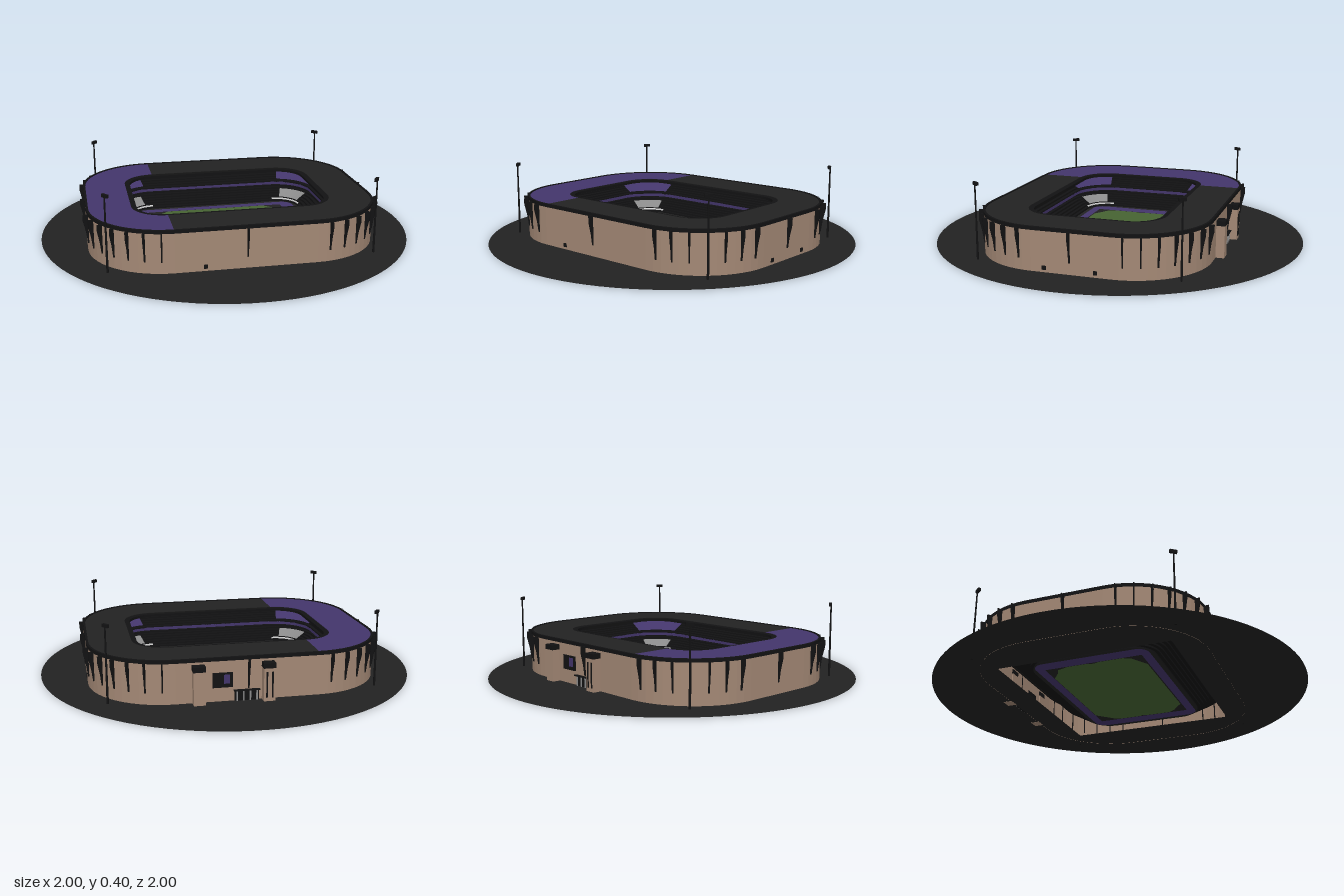
import * as THREE from 'three';

const mat = (name, color) => {
  const m = new THREE.MeshStandardMaterial({ color, side: THREE.DoubleSide });
  m.name = name;
  return m;
};

export function createModel() {
  const asphalt = mat('asphalt', 0x222222), purple = mat('purple', 0x43356b);
  const grass = mat('grass', 0x466332), tan = mat('tan', 0xa38875);
  const black = mat('black', 0x121213), grey = mat('grey', 0x8a8a8a), white = mat('white', 0xdddddd);
  const root = new THREE.Group();
  root.name = 'stadium';

  const add = (name, geo, material, x = 0, y = 0, z = 0, parent = root) => {
    const m = new THREE.Mesh(geo, material);
    m.name = name;
    m.position.set(x, y, z);
    parent.add(m);
    return m;
  };
  const box = (name, w, h, d, material, x, y, z, parent) =>
    add(name, new THREE.BoxGeometry(w, h, d), material, x, y, z, parent);

  // Stations around the bowl: four quarter turns about fixed corner centres
  const CX = 0.36, CZ = 0.2, SEG = 14, PER = SEG + 1;
  const stations = [];
  [[-CX, CZ], [-CX, -CZ], [CX, -CZ], [CX, CZ]].forEach(([x, z], k) => {
    for (let i = 0; i <= SEG; i++) {
      const a = Math.PI / 2 * (1 + k + i / SEG);
      stations.push({ x, z, nx: Math.cos(a), nz: Math.sin(a) });
    }
  });
  const N = stations.length;

  // Sweep a profile of [offset, height] points along stations first..last
  function sweep(name, profile, material, first = 0, last = N) {
    const pos = [];
    const at = (i, [d, y]) => {
      const s = stations[i % N];
      return [s.x + s.nx * d, y, s.z + s.nz * d];
    };
    for (let i = first; i < last; i++) {
      for (let j = 0; j < profile.length - 1; j++) {
        const a = at(i, profile[j]), b = at(i + 1, profile[j]);
        const c = at(i + 1, profile[j + 1]), d = at(i, profile[j + 1]);
        pos.push(...a, ...d, ...b, ...b, ...d, ...c);
      }
    }
    const g = new THREE.BufferGeometry();
    g.setAttribute('position', new THREE.Float32BufferAttribute(pos, 3));
    g.computeVertexNormals();
    return add(name, g, material);
  }

  // Flat plates, drawn in x and z
  function roundRect(Type, w, h, r) {
    const s = new Type();
    [[w, h], [-w, h], [-w, -h], [w, -h]].forEach(([x, y], k) =>
      s.absarc(x - Math.sign(x) * r, y - Math.sign(y) * r, r, k * Math.PI / 2, (k + 1) * Math.PI / 2, false));
    s.closePath();
    return s;
  }
  function plate(name, shape, hole, material, y) {
    if (hole) shape.holes.push(hole);
    return add(name, new THREE.ShapeGeometry(shape, 48).rotateX(Math.PI / 2), material, 0, y, 0);
  }

  // Surrounding ground, open under the bowl
  plate('ground', new THREE.Shape().absarc(0, 0, 1, 0, Math.PI * 2, false),
    roundRect(THREE.Path, 0.53, 0.46, 0.001), asphalt, 0.001);

  // Field: grass with clipped corners, dark corner plates, purple border, apron
  const outline = [[-0.39, -0.14], [-0.37, -0.2], [-0.33, -0.22], [-0.28, -0.26], [0.29, -0.26], [0.34, -0.21],
    [0.37, -0.18], [0.39, -0.13], [0.39, -0.02], [0.38, 0], [0.39, 0.02], [0.39, 0.16], [0.36, 0.2], [0.32, 0.23],
    [0.29, 0.255], [-0.28, 0.255], [-0.32, 0.23], [-0.37, 0.2], [-0.39, 0.16], [-0.39, 0.03], [-0.38, 0], [-0.39, -0.03]]
    .map(([x, z]) => new THREE.Vector2(x, z));
  const FIELD = 0.02;
  plate('pitch', new THREE.Shape(outline), null, grass, FIELD);
  plate('pitchCorners', roundRect(THREE.Shape, 0.393, 0.262, 0.002), new THREE.Path(outline), asphalt, FIELD);
  plate('fieldBorder', roundRect(THREE.Shape, 0.465, 0.308, 0.06),
    roundRect(THREE.Path, 0.393, 0.262, 0.002), purple, FIELD);
  plate('apron', roundRect(THREE.Shape, 0.49, 0.33, 0.13),
    roundRect(THREE.Path, 0.465, 0.308, 0.06), asphalt, FIELD);

  // Stepped stands
  function steps(d0, y0, d1, y1, rows) {
    const p = [[d0, y0]];
    for (let i = 1; i <= rows; i++) {
      const y = y0 + (y1 - y0) * i / rows;
      p.push([d0 + (d1 - d0) * (i - 1) / rows, y], [d0 + (d1 - d0) * i / rows, y]);
    }
    return p;
  }
  sweep('lowerStand', steps(0.13, FIELD, 0.27, 0.1, 8), black);
  sweep('upperStand', steps(0.2, 0.12, 0.38, 0.2, 9), black);
  sweep('upperFascia', [[0.2, 0.105], [0.2, 0.122]], purple);
  sweep('standBackWall', [[0.27, 0.1], [0.27, 0.15]], asphalt);
  for (let k = 0; k < 4; k++) {
    const a = k * PER, b = a + SEG;
    sweep('cornerSeats', [[0.14, 0.046], [0.2, 0.08]], grey, a + 3, b - 3);
    sweep('cornerRail', [[0.127, 0.034], [0.127, 0.042], [0.132, 0.042]], white, a, b);
    sweep('upperCornerSeats', [[0.21, 0.137], [0.36, 0.204]], purple, a + 2, b - 2);
  }

  // Outer wall and flat roof, purple over the right-hand end
  sweep('outerWall', [[0.4, 0], [0.4, 0.21]], tan);
  const slab = [[0.17, 0.206], [0.17, 0.22], [0.39, 0.22], [0.39, 0.206], [0.17, 0.206]];
  sweep('purpleRoof', slab, purple, 0, 2 * PER - 1);
  sweep('darkRoof', slab, asphalt, 2 * PER - 1, N);
  sweep('roofOuterTrim', [[0.39, 0.206], [0.39, 0.224], [0.402, 0.224], [0.402, 0.206], [0.39, 0.206]], black);
  sweep('roofInnerTrim', [[0.142, 0.202], [0.142, 0.216], [0.17, 0.218], [0.17, 0.202], [0.142, 0.202]], black);

  // Tapered brackets below the roof edge
  const finShape = new THREE.Shape([[-0.002, 0.06], [0.004, 0.06], [0.012, 0.12], [0.026, 0.18], [0.026, 0.213], [-0.002, 0.213]]
    .map(([x, y]) => new THREE.Vector2(x, y)));
  const finGeo = new THREE.ExtrudeGeometry(finShape, { depth: 0.007, bevelEnabled: false }).translate(0, 0, -0.0035);
  const fin = (x, z, a) => {
    add('roofBracket', finGeo, black, x + Math.cos(a) * 0.4, 0, z + Math.sin(a) * 0.4).rotation.y = -a;
  };
  [[-CX, CZ], [-CX, -CZ], [CX, -CZ], [CX, CZ]].forEach(([x, z], k) => {
    for (let i = 0; i < 7; i++) fin(x, z, Math.PI / 2 * (k + 1) + (9 + 12 * i) * Math.PI / 180);
  });
  fin(0, CZ, Math.PI / 2);
  fin(0, -CZ, -Math.PI / 2);
  fin(CX, 0, 0);
  fin(-CX, 0, Math.PI);

  // Floodlight masts
  for (const x of [-0.68, 0.68]) for (const z of [-0.525, 0.525]) {
    const mast = new THREE.Group();
    mast.name = 'floodlight';
    mast.position.set(x, 0, z);
    mast.rotation.y = Math.atan2(-x, -z);
    add('pole', new THREE.CylinderGeometry(0.004, 0.006, 0.39, 8), black, 0, 0.195, 0, mast);
    box('lampHead', 0.038, 0.016, 0.014, black, 0, 0.39, 0.004, mast);
    root.add(mast);
  }

  // Small service openings
  box('frontHatch', 0.02, 0.02, 0.008, black, -0.21, 0.024, 0.6);
  for (const z of [-0.13, 0.13]) box('sideHatch', 0.008, 0.02, 0.02, black, 0.76, 0.024, z);

  // Rear entrance: two towers, display panel and gate
  for (const x of [-0.095, 0.25]) {
    box('entranceTower', 0.058, 0.168, 0.05, tan, x, 0.084, -0.619);
    box('towerCap', 0.062, 0.026, 0.052, black, x, 0.181, -0.62);
  }
  for (const dx of [-0.014, 0.014]) box('towerSlit', 0.008, 0.13, 0.004, black, -0.095 + dx, 0.085, -0.645);
  box('displayPanel', 0.1, 0.075, 0.008, black, 0.13, 0.11, -0.602);
  box('panelInset', 0.03, 0.045, 0.004, purple, 0.11, 0.115, -0.607);
  box('gate', 0.12, 0.05, 0.008, black, 0.01, 0.025, -0.602);
  box('gateCanopy', 0.13, 0.006, 0.016, black, 0.01, 0.054, -0.608);
  for (let i = 0; i < 4; i++) box('gatePost', 0.007, 0.05, 0.005, grey, -0.04 + i * 0.033, 0.025, -0.608);

  return root;
}
